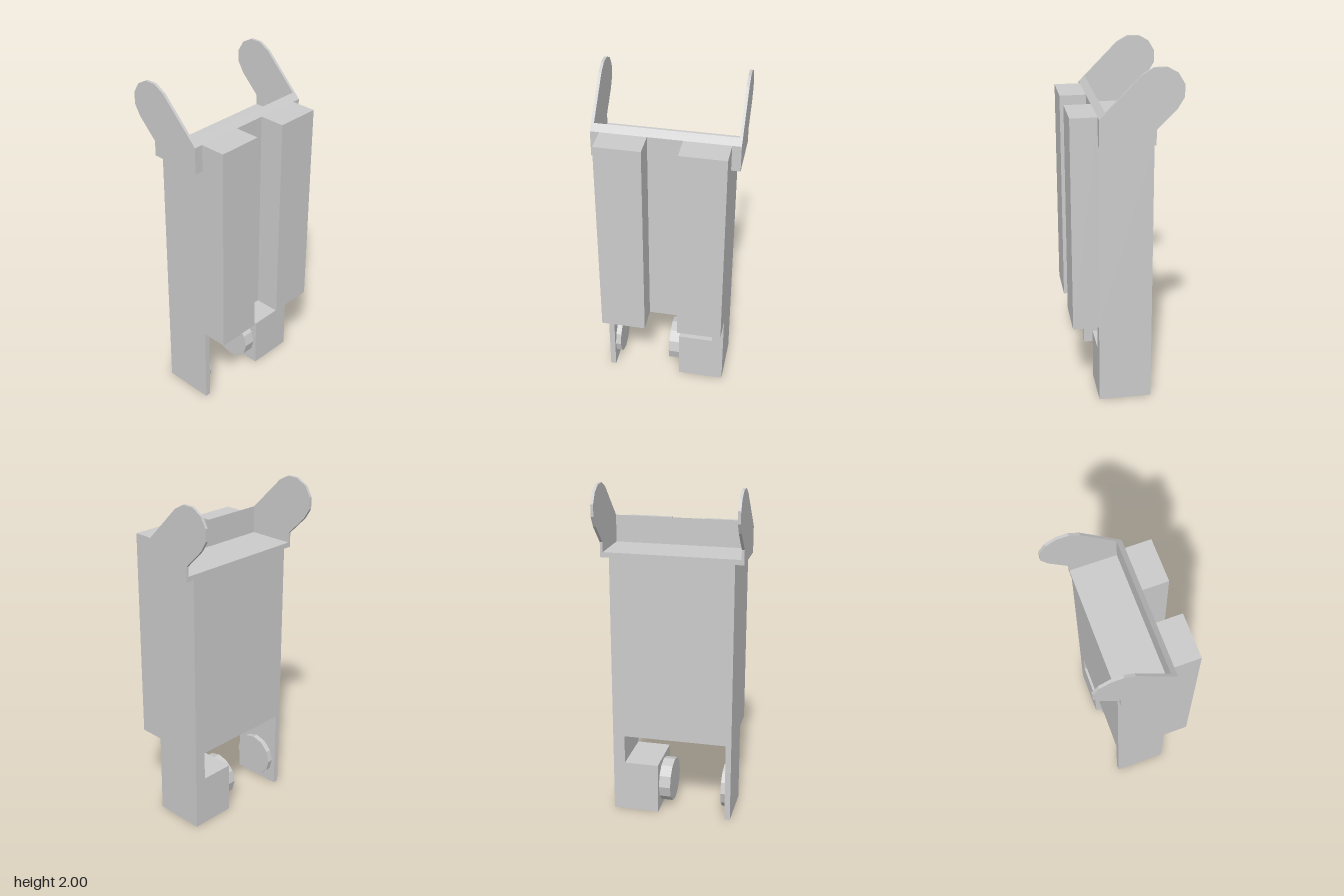
import * as THREE from 'three';

const material = new THREE.MeshStandardMaterial({ color: 0xcccccc, flatShading: true });

const BACK = -0.155, FRONT = 0.152;

export function createModel() {
  const model = new THREE.Group();
  model.name = 'clipHolder';

  const add = (name, geometry) => {
    const mesh = new THREE.Mesh(geometry, material);
    mesh.name = name;
    model.add(mesh);
    return mesh;
  };

  // Box given by its extents
  const box = (name, x0, x1, y0, y1, z0, z1) =>
    add(name, new THREE.BoxGeometry(x1 - x0, y1 - y0, z1 - z0))
      .position.set((x0 + x1) / 2, (y0 + y1) / 2, (z0 + z1) / 2);

  // Side profile of [z, y] points, extruded along x
  const profile = (name, points, x0, x1) => {
    const shape = new THREE.Shape(points.map(([z, y]) => new THREE.Vector2(-z, y)));
    const geometry = new THREE.ExtrudeGeometry(shape, { depth: x1 - x0, bevelEnabled: false });
    geometry.rotateY(Math.PI / 2);
    add(name, geometry).position.x = x0;
  };

  // Round pad facing sideways, with a corner at the top
  const pad = (name, x0, x1) => {
    const geometry = new THREE.CylinderGeometry(0.133, 0.133, x1 - x0, 12);
    geometry.rotateZ(Math.PI / 2);
    add(name, geometry).position.set((x0 + x1) / 2, 0.157, 0);
  };

  // Main slab and the two raised rails on its front
  box('body', -0.36, 0.36, 0.485, 1.58, BACK, FRONT);
  for (const [side, x0] of [['left', 0.098], ['right', -0.36]]) {
    box(side + 'Rail', x0, x0 + 0.262, 0.485, 1.735, FRONT, 0.302);
  }

  // Top tray: floor and a front lip with a sloping top
  box('trayFloor', -0.395, 0.395, 1.58, 1.61, BACK, FRONT);
  profile('trayLip', [[FRONT, 1.58], [FRONT, 1.735], [0.118, 1.769], [0.118, 1.58]], -0.395, 0.395);

  // Rounded ears leaning backwards
  const ear = [
    [FRONT, 1.58], [FRONT, 1.735], [-0.078, 1.967], [-0.138, 2], [-0.207, 2], [-0.266, 1.967],
    [-0.302, 1.907], [-0.302, 1.838], [-0.266, 1.778], [BACK, 1.667], [BACK, 1.58],
  ];
  profile('leftEar', ear, 0.395, 0.411);
  profile('rightEar', ear, -0.411, -0.395);

  // Lower jaws: a stepped block on the left, a thin plate on the right
  box('leftLeg', 0.29, 0.36, 0, 0.485, BACK, FRONT);
  box('leftJawBlock', 0.085, 0.29, 0, 0.31, BACK, FRONT);
  box('rightLeg', -0.36, -0.327, 0, 0.485, BACK, FRONT);
  pad('leftPad', 0.015, 0.085);
  pad('rightPad', -0.327, -0.295);

  return model;
}
